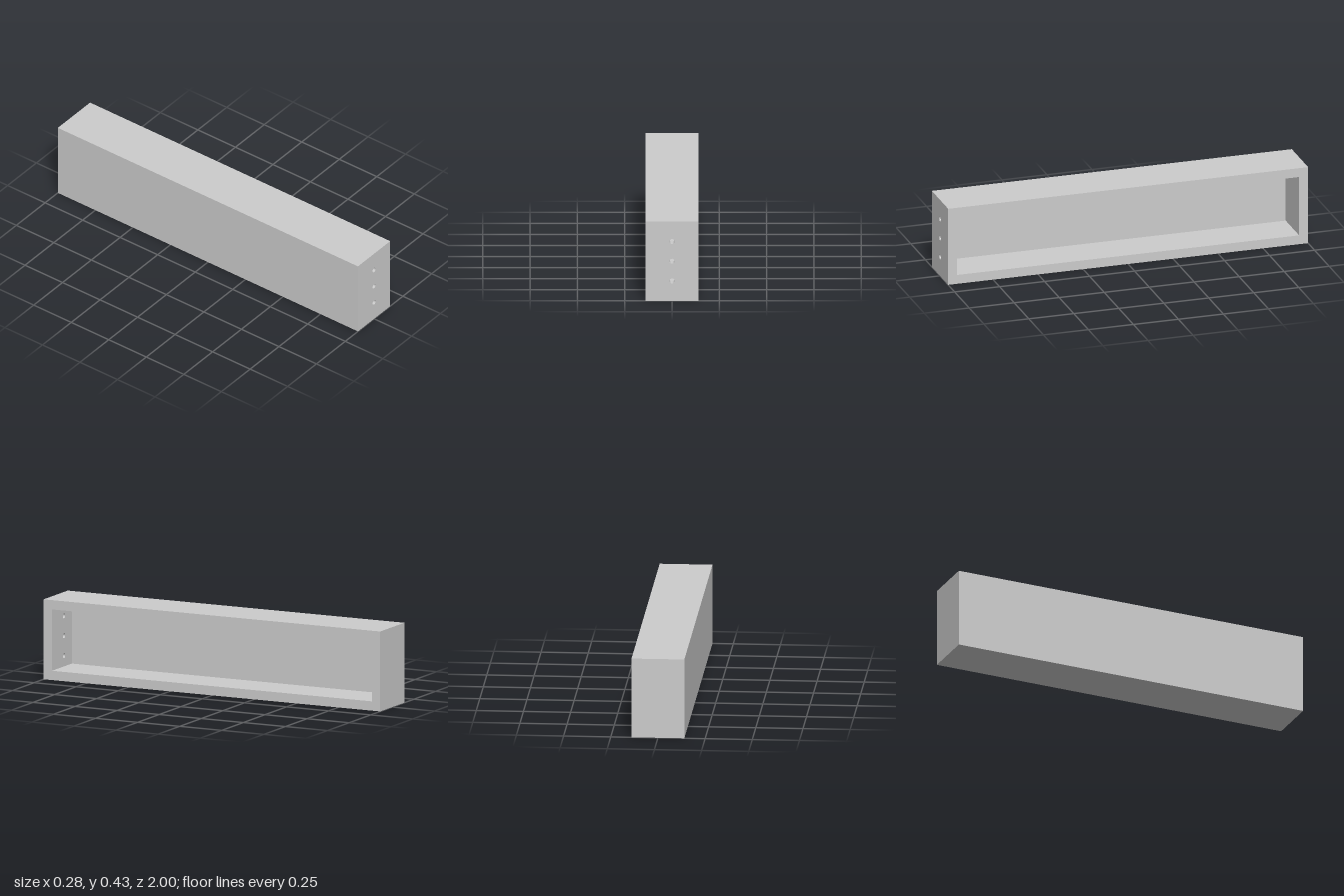
import * as THREE from 'three';
import { mergeGeometries } from 'three/addons/utils/BufferGeometryUtils.js';

const W = 0.28, H = 0.43, L = 2, T = 0.05;      // outer size and wall thickness
const HOLE_R = 0.0135, HOLE_Y = [-0.107, 0, 0.107];
const Q = Math.PI / 2;

// Rectangle outline centred on the origin
function rect(w, h, Type = THREE.Shape) {
  const s = new Type();
  s.moveTo(-w / 2, -h / 2);
  s.lineTo(w / 2, -h / 2);
  s.lineTo(w / 2, h / 2);
  s.lineTo(-w / 2, h / 2);
  s.closePath();
  return s;
}

// Flat face pointing to +z, tilted about x, turned about y, then placed
function panel(w, h, [x, y, z], rx = 0, ry = 0, holes = []) {
  const shape = rect(w, h);
  shape.holes.push(...holes);
  return new THREE.ShapeGeometry(shape, 32).rotateX(rx).rotateY(ry).translate(x, y, z);
}

// The row of three screw holes, at a sideways offset within its panel
const screwHoles = (dx) => HOLE_Y.map((dy) =>
  new THREE.Path().absarc(dx, dy, HOLE_R, 0, Math.PI * 2, true));

export function createModel() {
  const group = new THREE.Group();
  const grey = new THREE.MeshStandardMaterial({ color: 0xcccccc });
  const add = (name, geometry, material = grey) => {
    const mesh = new THREE.Mesh(geometry, material);
    mesh.name = name;
    group.add(mesh);
  };
  const cy = H / 2;
  const iw = W - T, ih = H - 2 * T, il = L - 2 * T;   // cavity size
  const ix = T / 2;                                   // cavity centre in x

  // Outer skin, with the tray opening on the +x side
  add('outerShell', mergeGeometries([
    panel(W, H, [0, cy, L / 2], 0, 0, screwHoles(0)),
    panel(W, H, [0, cy, -L / 2], 0, Math.PI),
    panel(W, L, [0, H, 0], -Q),
    panel(W, L, [0, 0, 0], Q),
    panel(L, H, [-W / 2, cy, 0], 0, -Q),
    panel(L, H, [W / 2, cy, 0], 0, Q, [rect(il, ih, THREE.Path)]),
  ]));

  // Cavity walls, facing inwards
  add('cavity', mergeGeometries([
    panel(iw, ih, [ix, cy, il / 2], 0, Math.PI, screwHoles(ix)),
    panel(iw, ih, [ix, cy, -il / 2]),
    panel(iw, il, [ix, T, 0], -Q),
    panel(iw, il, [ix, H - T, 0], Q),
    panel(il, ih, [-W / 2 + T, cy, 0], 0, Q),
  ]));

  // Bores of the screw holes through the front wall
  const bores = HOLE_Y.map((dy) =>
    new THREE.CylinderGeometry(HOLE_R, HOLE_R, T, 32, 1, true)
      .rotateX(Q).translate(0, cy + dy, L / 2 - T / 2));
  add('screwHoleBores', mergeGeometries(bores),
    new THREE.MeshStandardMaterial({ color: 0xcccccc, side: THREE.DoubleSide }));

  return group;
}
